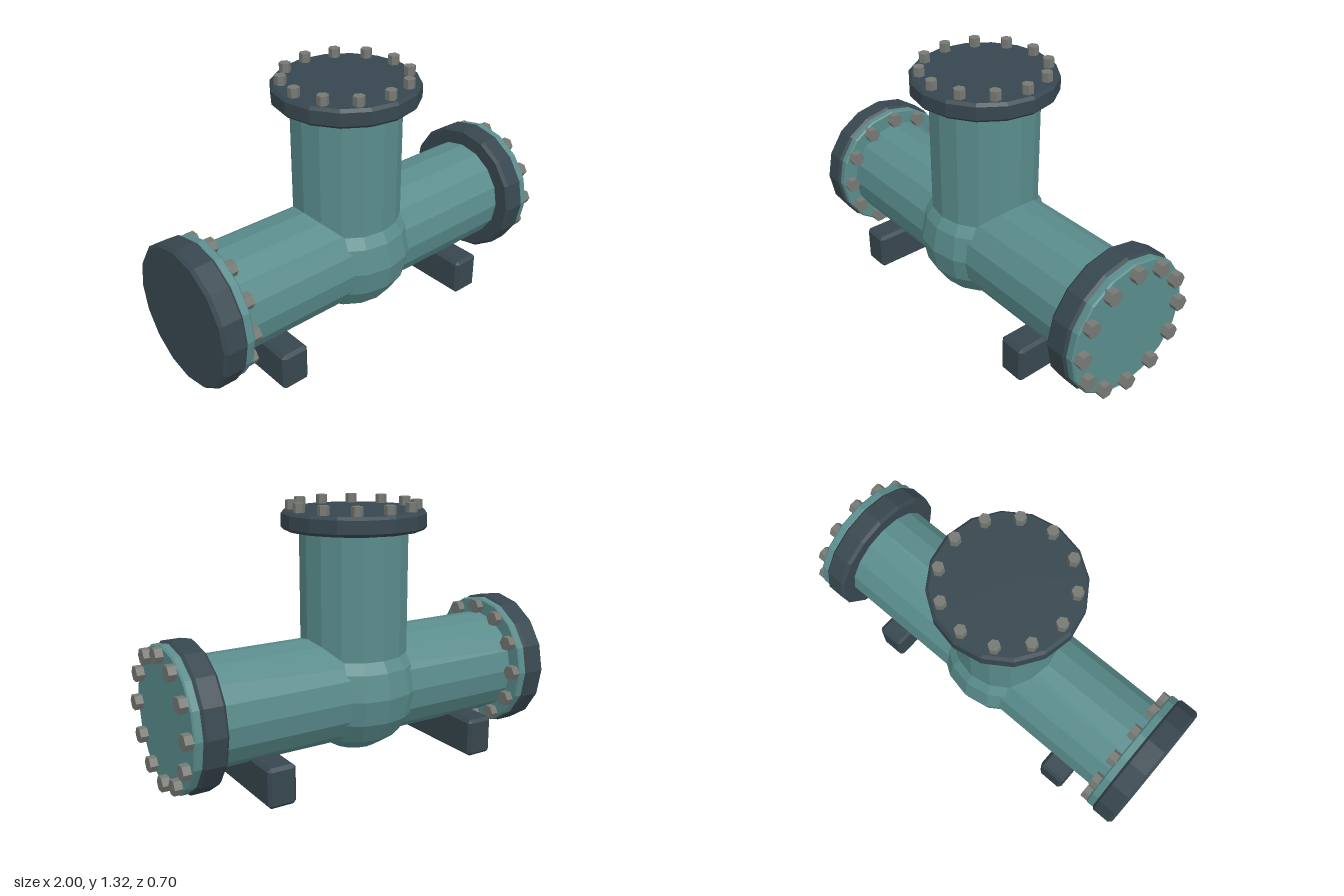
import * as THREE from 'three';
import { ConvexGeometry } from 'three/addons/geometries/ConvexGeometry.js';

const SIDES = 16;
const CX = -0.035; // x of the branch pipe
const AXIS = 0.405; // height of the main pipe axis

const paint = (color) => new THREE.MeshStandardMaterial({ color, flatShading: true });

// Solid disc standing on y = 0 with chamfered rims
function disc(radius, height, bevel) {
  const profile = [
    [0, 0], [radius - bevel, 0], [radius, bevel],
    [radius, height - bevel], [radius - bevel, height], [0, height],
  ].map(([r, y]) => new THREE.Vector2(r, y));
  return new THREE.LatheGeometry(profile, SIDES);
}

// Box with every edge cut at 45 degrees
function chamferBox(w, h, d, c) {
  const points = [];
  for (const sx of [-1, 1]) for (const sy of [-1, 1]) for (const sz of [-1, 1])
    for (let axis = 0; axis < 3; axis++) {
      const half = [w / 2 - c, h / 2 - c, d / 2 - c];
      half[axis] += c;
      points.push(new THREE.Vector3(sx * half[0], sy * half[1], sz * half[2]));
    }
  return new ConvexGeometry(points);
}

export function createModel() {
  const teal = paint(0x5a8c8c), dark = paint(0x37474f), steel = paint(0x757873);
  const model = new THREE.Group();
  model.name = 'pipeTee';

  function add(parent, name, geometry, material, x = 0, y = 0, z = 0) {
    const mesh = new THREE.Mesh(geometry, material);
    mesh.name = name;
    mesh.position.set(x, y, z);
    parent.add(mesh);
    return mesh;
  }

  // Ring of twelve hexagonal bolts whose bases sit at height y
  function addBolts(parent, y, radius, height) {
    const sunk = 0.01;
    const bolt = new THREE.CylinderGeometry(radius, radius, height + sunk, 6);
    for (let i = 0; i < 12; i++) {
      const a = (i * Math.PI) / 6;
      add(parent, 'bolt', bolt, steel, 0.3 * Math.cos(a), y + (height - sunk) / 2, 0.3 * Math.sin(a));
    }
  }

  // Main pipe, branch pipe and the bulge where they meet
  const main = add(model, 'mainPipe', new THREE.CylinderGeometry(0.265, 0.265, 1.84, SIDES), teal, CX, AXIS);
  main.rotation.z = -Math.PI / 2;
  add(model, 'branchPipe', new THREE.CylinderGeometry(0.265, 0.265, 0.8, SIDES), teal, CX, AXIS + 0.4);
  add(model, 'junctionBulge', new THREE.SphereGeometry(0.325, SIDES, 8), teal, CX, AXIS);

  // Branch flange
  const top = new THREE.Group();
  top.name = 'branchFlange';
  top.position.set(CX, 1.185, 0);
  add(top, 'flange', disc(0.352, 0.091, 0.014), dark);
  addBolts(top, 0.091, 0.028, 0.044);
  model.add(top);

  // Main pipe flanges, both with their cover plate and bolts towards +x
  for (const [name, x] of [['rightFlange', -1], ['leftFlange', 0.803]]) {
    const end = new THREE.Group();
    end.name = name;
    end.position.set(x, AXIS, 0);
    end.rotation.z = -Math.PI / 2;
    add(end, 'flange', disc(0.352, 0.121, 0.015), dark);
    add(end, 'coverPlate', disc(0.343, 0.045, 0.007), teal, 0, 0.114);
    addBolts(end, 0.159, 0.039, 0.038);
    model.add(end);
  }

  // Support feet
  const foot = chamferBox(0.144, 0.195, 0.63, 0.016);
  for (const side of [-1, 1]) add(model, 'supportFoot', foot, dark, CX + side * 0.575, 0.0975);

  return model;
}
